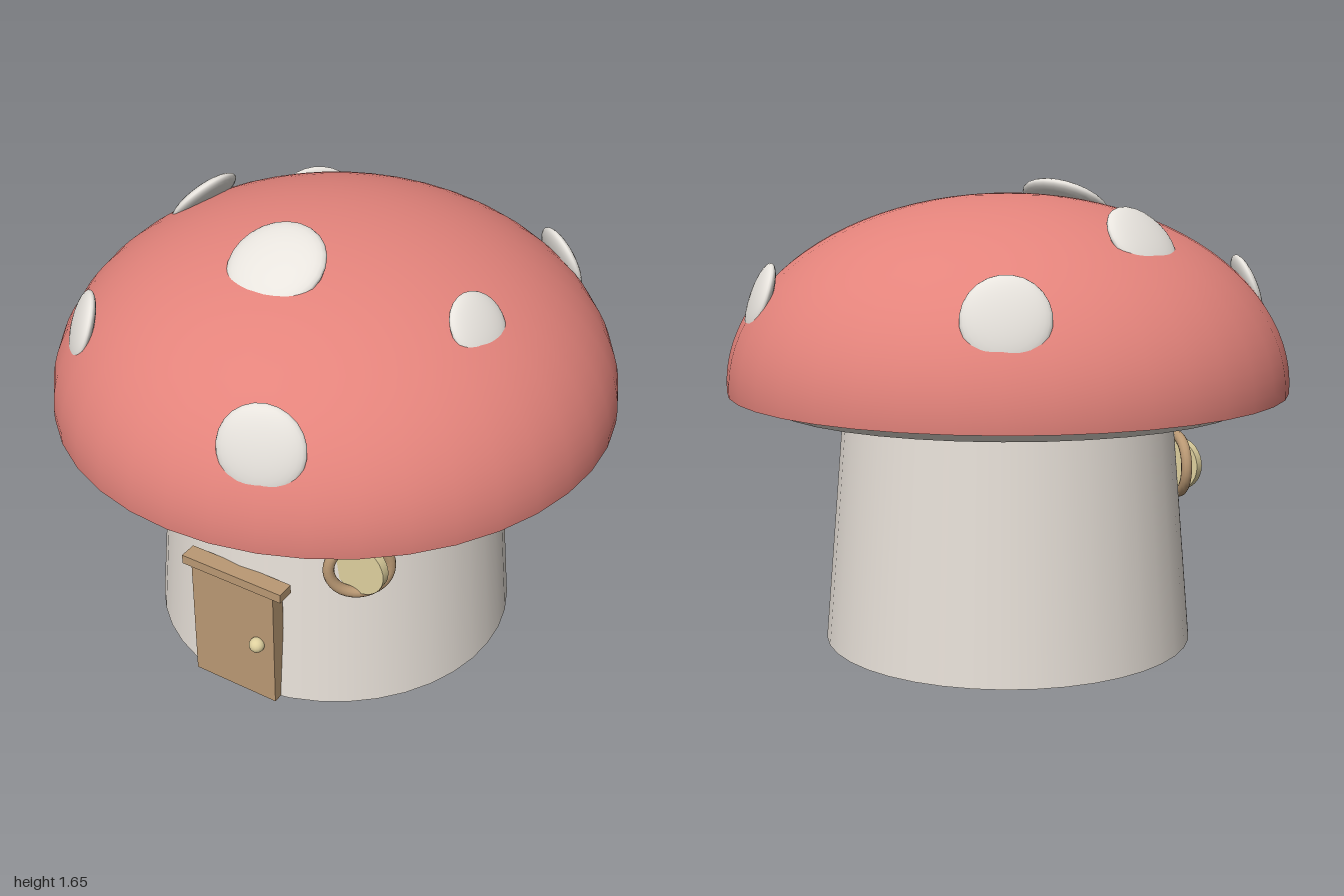
import * as THREE from 'three';

const material = (name, color, side = THREE.FrontSide) => {
  const m = new THREE.MeshStandardMaterial({ color, side });
  m.name = name;
  return m;
};

export function createModel() {
  const model = new THREE.Group();
  model.name = 'mushroomHouse';

  const red = material('capRed', 0xe3837b, THREE.DoubleSide);
  const cream = material('stemCream', 0xe6dfd7);
  const white = material('spotWhite', 0xe9e5df);
  const wood = material('wood', 0xba9974);
  const yellow = material('paneYellow', 0xdfd19f);

  const add = (name, geometry, mat, x, y, z, parent = model) => {
    const mesh = new THREE.Mesh(geometry, mat);
    mesh.name = name;
    mesh.position.set(x, y, z);
    parent.add(mesh);
    return mesh;
  };

  // Tapered stem
  add('stem', new THREE.CylinderGeometry(0.59, 0.665, 0.88, 40), cream, 0, 0.44, 0);

  // Domed cap, its rim curling just past the widest line
  const capY = 0.935, capHeight = 0.667;
  const dome = new THREE.SphereGeometry(1, 40, 24, 0, Math.PI * 2, 0, Math.PI * 0.512);
  dome.scale(1, capHeight, 1);
  add('cap', dome, red, 0, capY, 0);

  // Bevelled plate under the cap
  add('capUnderside', new THREE.CylinderGeometry(0.98, 0.86, 0.06, 40), cream, 0, 0.895, 0);

  // Flattened spots facing away from the cap centre: x, z, radius
  const spots = new THREE.Group();
  spots.name = 'spots';
  model.add(spots);
  const up = new THREE.Vector3(0, 1, 0);
  const spotData = [
    [0, 0.36, 0.17], [0.27, 0.855, 0.145], [-0.63, 0.605, 0.125], [-0.615, -0.085, 0.14],
    [0.635, 0.17, 0.112], [-0.53, -0.71, 0.143], [0.525, -0.71, 0.13],
  ];
  for (const [x, z, r] of spotData) {
    const h = capHeight * Math.sqrt(1 - x * x - z * z);
    const spot = add('spot', new THREE.SphereGeometry(r, 24, 16), white, x, capY + h, z, spots);
    spot.scale.y = 0.25;
    spot.quaternion.setFromUnitVectors(up, new THREE.Vector3(x, h, z).normalize());
  }

  // Door with lintel and knob
  add('door', new THREE.BoxGeometry(0.34, 0.48, 0.06), wood, 0, 0.24, 0.645);
  add('doorLintel', new THREE.BoxGeometry(0.41, 0.035, 0.065), wood, 0, 0.488, 0.648);
  add('doorKnob', new THREE.SphereGeometry(0.028, 16, 12), yellow, 0.105, 0.243, 0.685);

  // Round windows: the ring follows the wall, the pane faces forward
  for (const side of [1, -1]) {
    const window = new THREE.Group();
    window.name = side > 0 ? 'leftWindow' : 'rightWindow';
    window.position.set(side * 0.41, 0.595, 0.505);
    model.add(window);
    const ring = add('windowRing', new THREE.TorusGeometry(0.105, 0.02, 12, 32), wood, 0, 0, 0, window);
    ring.rotation.y = side * 0.68;
    const pane = add('windowPane', new THREE.CylinderGeometry(0.1, 0.1, 0.035, 32), yellow, 0, 0, -0.005, window);
    pane.rotation.x = Math.PI / 2;
  }

  return model;
}
